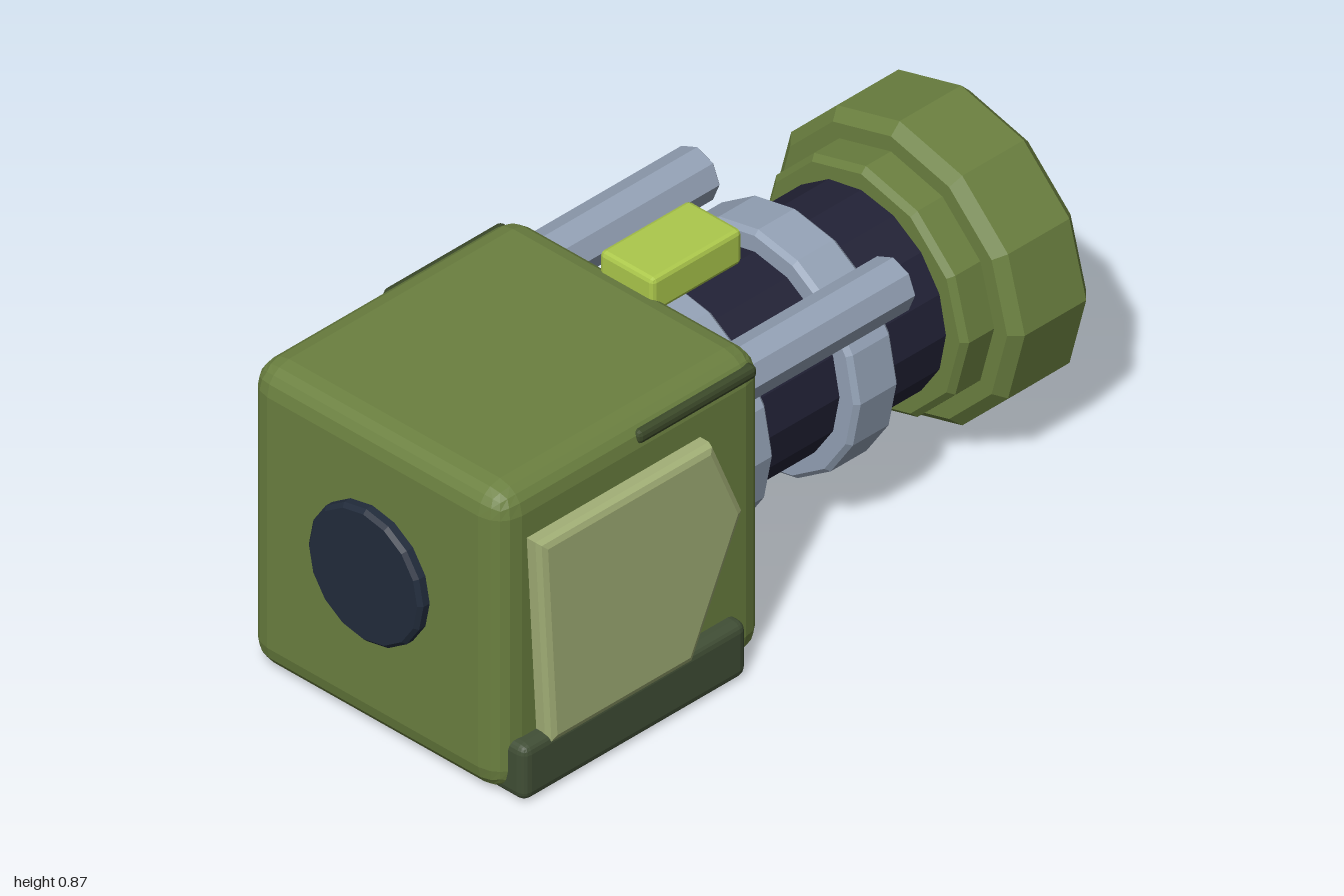
import * as THREE from 'three';
import { RoundedBoxGeometry } from 'three/addons/geometries/RoundedBoxGeometry.js';

const AXIS_Y = 0.445, AXIS_Z = -0.022;

const mat = (name, color) => {
  const m = new THREE.MeshStandardMaterial({ color });
  m.name = name;
  return m;
};

// faceted normals
function faceted(geo) {
  const g = geo.index ? geo.toNonIndexed() : geo;
  g.computeVertexNormals();
  return g;
}

export function createModel() {
  const olive = mat('olive', 0x6b8040);
  const paleOlive = mat('paleOlive', 0xa3b077);
  const darkOlive = mat('darkOlive', 0x414f36);
  const slotGreen = mat('slotGreen', 0x3c4a2a);
  const lime = mat('lime', 0xadc94c);
  const black = mat('black', 0x222236);
  const steel = mat('steel', 0x94a2b6);
  const silver = mat('silver', 0xbfc1c6);
  const navy = mat('navy', 0x222c3c);

  const model = new THREE.Group();
  model.name = 'scopeDevice';

  const add = (name, geo, material) => {
    const mesh = new THREE.Mesh(faceted(geo), material);
    mesh.name = name;
    model.add(mesh);
    return mesh;
  };

  // box given by its limits, with rounded or chamfered edges
  const box = (name, [x0, x1], [y0, y1], [z0, z1], radius, segments, material) => {
    const g = new RoundedBoxGeometry(x1 - x0, y1 - y0, z1 - z0, segments, radius);
    g.translate((x0 + x1) / 2, (y0 + y1) / 2, (z0 + z1) / 2);
    return add(name, g, material);
  };

  // chamfered prism lying along x
  const drum = (name, x0, x1, r, sides, bevel, material, y = AXIS_Y, z = AXIS_Z) => {
    const profile = [
      [0, x0], [r - bevel, x0], [r, x0 + bevel],
      [r, x1 - bevel], [r - bevel, x1], [0, x1],
    ].map(([a, b]) => new THREE.Vector2(a, b));
    const g = new THREE.LatheGeometry(profile, sides);
    g.rotateZ(-Math.PI / 2);
    g.translate(0, y, z);
    return add(name, g, material);
  };

  // housing and its rear cap
  box('housing', [-0.97, -0.115], [0.003, 0.828], [-0.424, 0.38], 0.07, 2, olive);
  drum('rearCap', -1, -0.95, 0.18, 16, 0.01, navy);

  // barrel with two clamps
  drum('barrel', -0.15, 0.62, 0.267, 16, 0.005, black);
  drum('rearClamp', -0.13, -0.01, 0.322, 16, 0.012, steel);
  drum('frontClamp', 0.25, 0.388, 0.322, 16, 0.012, steel);

  // front head and stacked lens discs
  drum('collar', 0.59, 0.72, 0.325, 12, 0.015, olive);
  drum('head', 0.685, 0.937, 0.394, 12, 0.028, olive);
  drum('lensRim', 0.92, 0.965, 0.292, 16, 0.006, black);
  drum('lensRing', 0.95, 0.982, 0.177, 16, 0.005, lime);
  drum('lensCentre', 0.97, 1, 0.104, 12, 0.006, silver);

  // paired rails and side slots
  for (const [side, s] of [['left', 1], ['right', -1]]) {
    drum(side + 'Rail', -0.18, 0.382, 0.07, 8, 0.003, steel, 0.713, AXIS_Z + s * 0.308);
    const z = AXIS_Z + s * 0.385;
    box(side + 'Slot', [-0.53, -0.15], [0.765, 0.8], [z - 0.021, z + 0.021], 0.012, 1, slotGreen);
  }

  // top button
  box('topButton', [-0.16, 0.126], [0.783, 0.877], [-0.108, 0.062], 0.012, 1, lime);

  // five-sided cover plate
  const outline = [[-0.865, 0.672], [-0.345, 0.672], [-0.258, 0.467], [-0.41, 0.15], [-0.835, 0.15]];
  const cover = new THREE.ExtrudeGeometry(
    new THREE.Shape(outline.map(([x, y]) => new THREE.Vector2(x, y))),
    { depth: 0.05, bevelEnabled: true, bevelSize: 0.02, bevelThickness: 0.02, bevelSegments: 2 }
  );
  cover.translate(0, 0, 0.357);
  add('coverPlate', cover, paleOlive);

  // foot strip under the cover
  box('footStrip', [-0.935, -0.22], [0.005, 0.155], [0.3, 0.421], 0.024, 2, darkOlive);

  return model;
}
